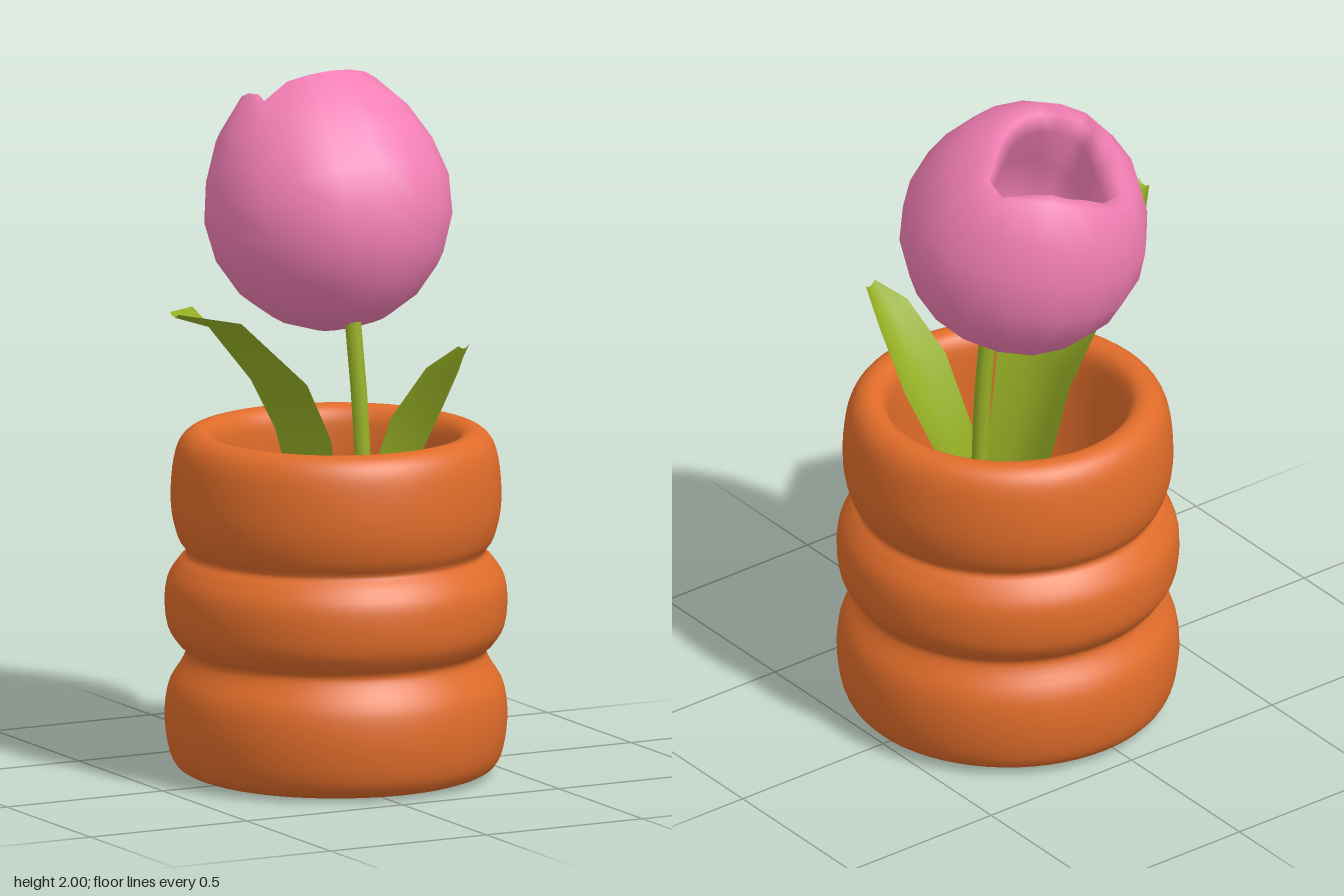
import * as THREE from 'three';
import { mergeVertices } from 'three/addons/utils/BufferGeometryUtils.js';

const orange = new THREE.MeshStandardMaterial({ color: 0xe06c2a });
const pink = new THREE.MeshStandardMaterial({ color: 0xf580b6, side: THREE.DoubleSide });
const green = new THREE.MeshStandardMaterial({ color: 0x98b226, side: THREE.DoubleSide });
const V = (x, y, z) => new THREE.Vector3(x, y, z);

function mesh(name, geometry, material) {
  const m = new THREE.Mesh(geometry, material);
  m.name = name;
  return m;
}

// weld a grid so its normals come out smooth across the seam
function smooth(geometry) {
  geometry.deleteAttribute('uv');
  geometry.deleteAttribute('normal');
  const g = mergeVertices(geometry, 1e-4);
  g.computeVertexNormals();
  return g;
}

// three stacked bulges, rolled rim and hollow inside
function potGeometry() {
  const outer = [[0.4, 0.005], [0.445, 0.025], [0.472, 0.075], [0.484, 0.17], [0.473, 0.26], [0.435, 0.325],
    [0.426, 0.358], [0.45, 0.385], [0.476, 0.43], [0.484, 0.5], [0.476, 0.565], [0.445, 0.615],
    [0.422, 0.642], [0.445, 0.68], [0.463, 0.745], [0.467, 0.82], [0.458, 0.91], [0.438, 0.962],
    [0.405, 0.987], [0.37, 0.985], [0.346, 0.96], [0.336, 0.9], [0.334, 0.7], [0.33, 0.1]];
  const curve = new THREE.SplineCurve(outer.map(p => new THREE.Vector2(...p)));
  const profile = [new THREE.Vector2(0, 0), ...curve.getPoints(72), new THREE.Vector2(0, 0.1)];
  return new THREE.LatheGeometry(profile, 64);
}

// bowl of petals: the polar angle of the rim varies around the axis
function blossomGeometry() {
  const rim = [28, 28, 29, 31, 38, 38, 30, 27, 28, 30, 36, 40, 29, 28, 30, 42, 31, 29];
  const rows = 9, inner = 5, n = rows + inner;
  const geometry = new THREE.LatheGeometry(Array.from({ length: n }, (_, j) => new THREE.Vector2(1, j)), rim.length);
  const pos = geometry.attributes.position;
  for (let i = 0; i <= rim.length; i++) {
    const phi = i / rim.length * Math.PI * 2;
    const end = rim[i % rim.length];
    const ring = polar => {
      const R = 0.353 + 0.042 * THREE.MathUtils.smoothstep(65 - polar, 0, 40);
      const a = THREE.MathUtils.degToRad(polar);
      return [R * Math.sin(a), R * Math.cos(a)];
    };
    const [r0, h0] = ring(end);
    const inside = [[r0 - 0.035, h0 - 0.005], [r0 - 0.065, h0 - 0.05], [0.16, 0.12], [0.14, -0.08], [0, -0.12]];
    for (let j = 0; j < n; j++) {
      const [r, h] = j < rows ? ring(180 + (end - 180) * j / (rows - 1)) : inside[j - rows];
      pos.setXYZ(i * n + j, r * Math.sin(phi), h, r * Math.cos(phi));
    }
  }
  return smooth(geometry);
}

// leaf swept through sections [centre, half width vector, cup vector]
function leafGeometry(sections) {
  const across = 4;
  const geometry = new THREE.PlaneGeometry(1, 1, across, sections.length - 1);
  const pos = geometry.attributes.position;
  sections.forEach(([centre, half, cup], j) => {
    for (let i = 0; i <= across; i++) {
      const s = i / across * 2 - 1;
      const p = centre.clone().addScaledVector(half, s).addScaledVector(cup, s * s);
      pos.setXYZ(j * (across + 1) + i, p.x, p.y, p.z);
    }
  });
  return smooth(geometry);
}

export function createModel() {
  const model = new THREE.Group();
  model.name = 'pottedTulip';

  const pot = mesh('pot', potGeometry(), orange);
  pot.position.x = 0.055;
  model.add(pot);

  // flower leaning towards the back
  const blossom = mesh('blossom', blossomGeometry(), pink);
  blossom.position.set(0.102, 1.603, -0.135);
  blossom.rotation.x = -0.436;
  model.add(blossom);

  const stemPath = new THREE.CatmullRomCurve3([V(0.11, 0.1, 0.04), V(0.118, 0.6, 0.05), V(0.115, 1.0, 0.038), V(0.1, 1.31, 0.015)]);
  model.add(mesh('stem', new THREE.TubeGeometry(stemPath, 12, 0.024, 8), green));

  // wide leaf reaching out to the side
  model.add(mesh('largeLeaf', leafGeometry([
    [V(0.05, 0.1, 0.04), V(0, 0, 0.05), V(0.02, 0, 0)],
    [V(-0.06, 0.7, 0.05), V(0, 0, 0.13), V(0.05, 0, 0)],
    [V(-0.14, 1.0, 0.055), V(0, 0, 0.165), V(0.06, 0.01, 0)],
    [V(-0.21, 1.14, 0.05), V(0, 0, 0.178), V(0.05, 0.035, 0)],
    [V(-0.37, 1.33, 0.08), V(0, 0, 0.147), V(0.0, 0.04, 0)],
    [V(-0.54, 1.39, 0.143), V(0, 0, 0.024), V(0, 0.012, 0)],
  ]), green));

  // short leaf leaning to the front
  model.add(mesh('smallLeaf', leafGeometry([
    [V(0.13, 0.1, 0.05), V(0.04, 0, -0.02), V(0, 0, -0.01)],
    [V(0.19, 0.8, 0.1), V(0.09, 0, -0.045), V(-0.02, 0, -0.03)],
    [V(0.245, 1.03, 0.19), V(0.115, 0.0, -0.055), V(-0.01, 0.02, -0.04)],
    [V(0.268, 1.17, 0.29), V(0.08, 0.0, -0.04), V(-0.005, 0.035, -0.03)],
    [V(0.28, 1.26, 0.345), V(0.022, 0, -0.008), V(0, 0.01, 0)],
  ]), green));

  return model;
}
